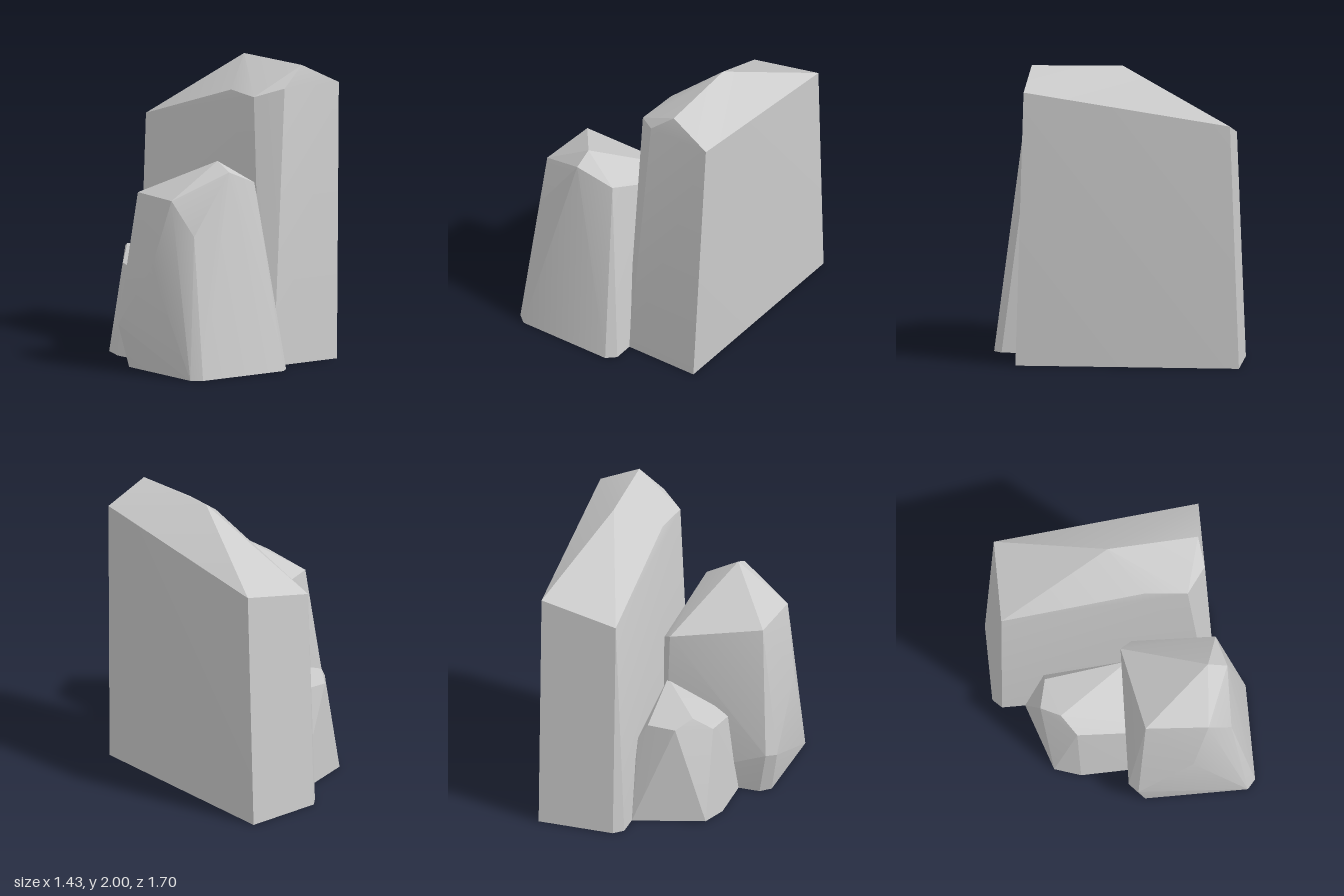
import * as THREE from 'three';
import { ConvexGeometry } from 'three/addons/geometries/ConvexGeometry.js';
import { toCreasedNormals } from 'three/addons/utils/BufferGeometryUtils.js';

// Each rock is a faceted convex block, given by its corners from base to crown.
const rocks = {
  tallRock: [
    // base with chamfered left corners
    [0.13, 0, 0.65], [0.655, 0, 0.65], [0.655, 0, -0.85],
    [0.13, 0, -0.85], [0.07, 0, -0.79], [0.07, 0, 0.59],
    // sloping shoulders
    [0.715, 1.86, 0.59], [0.655, 1.64, -0.79], [0.13, 1.52, -0.79],
    [0.13, 1.81, 0.17], [0.105, 1.8, 0.46], [0.265, 1.86, 0.59],
    // ridge
    [0.43, 2, 0.56], [0.4, 2, -0.05],
  ],
  mediumRock: [
    // base with chamfered corners
    [-0.6, 0, 0.845], [0.07, 0, 0.845], [0.13, 0, 0.79], [0.13, 0, 0.1],
    [0.07, 0, 0.04], [-0.6, 0, 0.04], [-0.665, 0, 0.1], [-0.665, 0, 0.79],
    // bulging outer side
    [-0.72, 0.29, 0.05], [-0.66, 0.3, -0.01], [-0.715, 0.72, 0.42], [-0.56, 0.95, 0.69],
    // shoulders
    [-0.63, 1.18, 0.53], [-0.6, 1.18, 0.11], [0.02, 1.08, 0], [0.085, 1.03, 0.08],
    [-0.02, 1.26, 0.635],
    // peak
    [-0.27, 1.36, 0.69], [-0.27, 1.42, 0.56],
  ],
  smallRock: [
    // base, running in under the other two rocks
    [0.07, 0, -0.635], [-0.4, 0, -0.485], [-0.46, 0, -0.31], [-0.45, 0, 0.1],
    [0.1, 0, 0.1], [0.1, 0, -0.6],
    // crown
    [0.07, 0.56, -0.51], [0, 0.67, -0.51], [-0.21, 0.69, -0.56], [-0.29, 0.73, -0.43],
    [-0.4, 0.62, -0.33], [-0.39, 0.54, 0.05], [-0.3, 0.6, 0.05], [0.05, 0.74, 0.05],
  ],
};

export function createModel() {
  const group = new THREE.Group();
  group.name = 'rockCluster';
  const stone = new THREE.MeshStandardMaterial({ color: 0xcccccc });
  for (const [name, corners] of Object.entries(rocks)) {
    const hull = new ConvexGeometry(corners.map((c) => new THREE.Vector3(...c)));
    // soften only the shallow creases
    const mesh = new THREE.Mesh(toCreasedNormals(hull, 0.3), stone);
    mesh.name = name;
    group.add(mesh);
  }
  return group;
}
